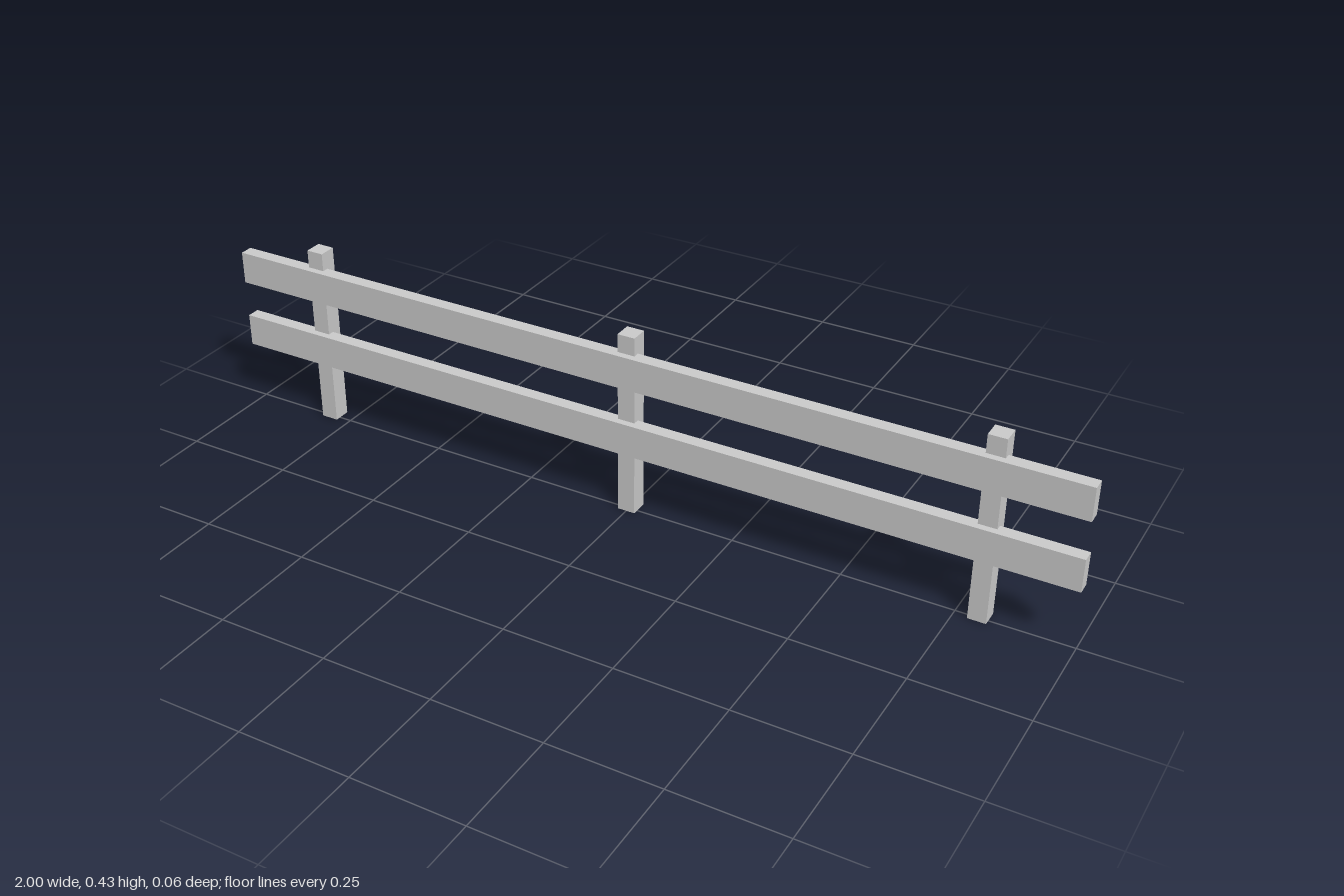
import * as THREE from 'three';

export function createModel() {
  const fence = new THREE.Group();
  fence.name = 'fence';
  const material = new THREE.MeshStandardMaterial({ color: 0xcccccc, flatShading: true });

  const addBoard = (name, size, position) => {
    const mesh = new THREE.Mesh(new THREE.BoxGeometry(...size), material);
    mesh.name = name;
    mesh.position.set(...position);
    fence.add(mesh);
  };

  // Three upright square posts
  const postHeight = 0.427;
  [['rightPost', -0.8], ['middlePost', 0], ['leftPost', 0.8]].forEach(([name, x]) =>
    addBoard(name, [0.04, postHeight, 0.04], [x, postHeight / 2, -0.0075]));

  // Two long rails let into the front of the posts
  [['lowerRail', 0.188], ['upperRail', 0.348]].forEach(([name, y]) =>
    addBoard(name, [2, 0.075, 0.03], [0, y, 0.013]));

  return fence;
}
